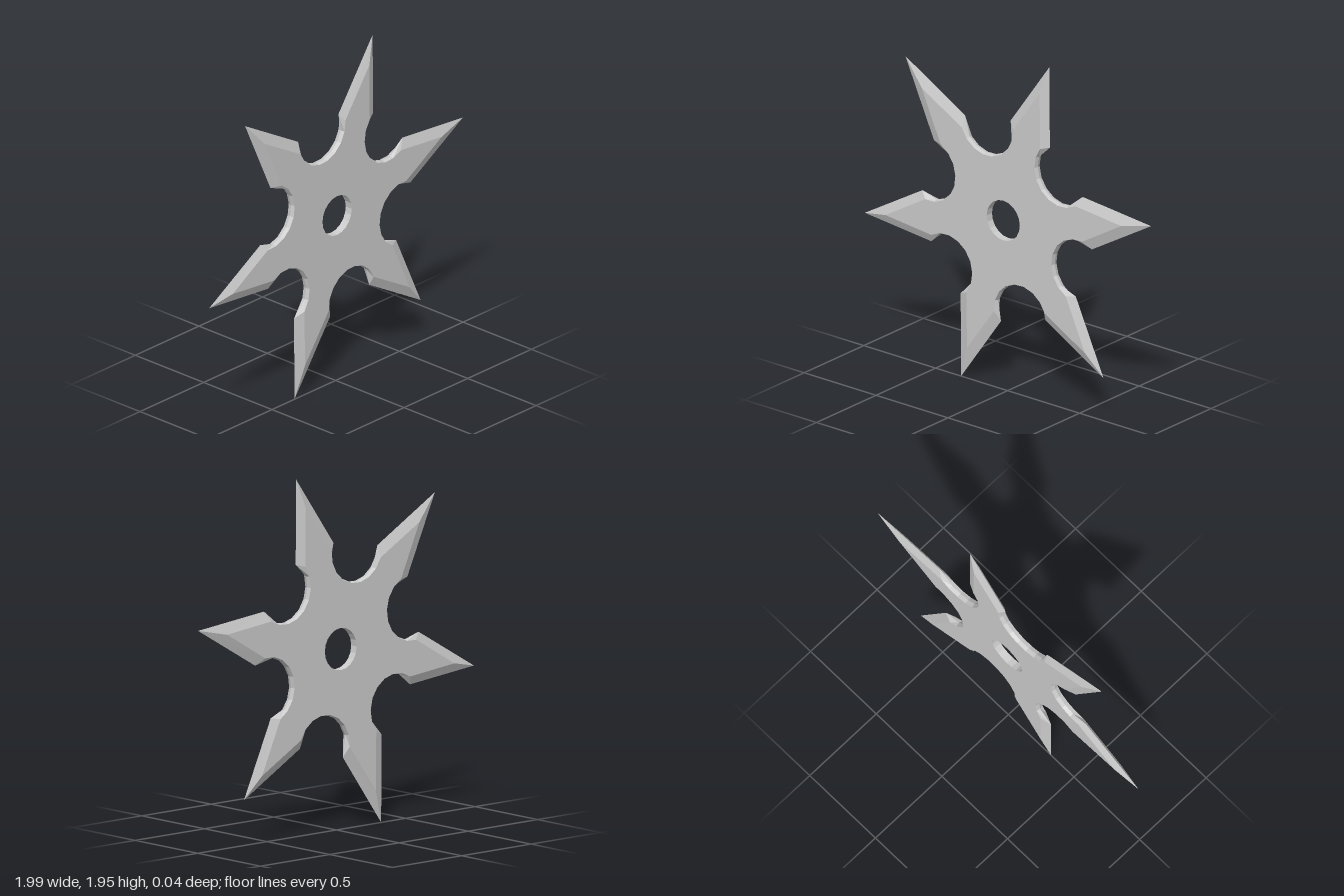
import * as THREE from 'three';

const HALF = 0.022;          // half thickness of the plate
const BLADES = 6;
const START = THREE.MathUtils.degToRad(12.5);
const ARC_STEPS = 8;         // facets in each round notch
const HOLE_R = 0.115, HOLE_SIDES = 20;

// Point given along / across a direction
function local(angle, along, across) {
  const c = Math.cos(angle), s = Math.sin(angle);
  return new THREE.Vector2(along * c - across * s, along * s + across * c);
}

// Two matching loops: edge of the flat face, and sharp rim on the mid plane
function outlines() {
  const flat = [], rim = [];
  const add = (f, r) => { flat.push(f); rim.push(r); };
  for (let k = 0; k < BLADES; k++) {
    const a = START + k * Math.PI / 3;
    const long = k % 2 === 0;
    const tip = long ? 1.035 : 1.005, barb = long ? 0.58 : 0.563, wide = long ? 0.147 : 0.143;
    // Blade: barb, tip, barb
    add(local(a, 0.535, -0.1), local(a, barb, -wide));
    add(local(a, 0.84, 0), local(a, tip, 0));
    add(local(a, 0.535, 0.1), local(a, barb, wide));
    // Round notch leading to the next blade
    const mid = a + Math.PI / 6;
    const centre = local(mid, 0.541, 0);
    const half = THREE.MathUtils.degToRad(81.4);
    for (let i = 1; i < ARC_STEPS; i++) {
      const t = mid + Math.PI - half + 2 * half * i / ARC_STEPS;
      // run from this blade towards the next one
      const u = 2 * (mid + Math.PI) - t;
      const dir = local(u, 1, 0);
      add(dir.clone().multiplyScalar(0.183).add(centre), dir.clone().multiplyScalar(0.177).add(centre));
    }
  }
  return { flat, rim };
}

function starGeometry() {
  const { flat, rim } = outlines();
  const hole = [];
  for (let i = 0; i < HOLE_SIDES; i++) hole.push(local(-i * 2 * Math.PI / HOLE_SIDES, HOLE_R, 0));
  const pos = [];
  const tri = (a, b, c) => { for (const p of [a, b, c]) pos.push(p.x, p.y, p.z); };
  const at = (p, z) => new THREE.Vector3(p.x, p.y, z);
  const quad = (a, b, c, d) => { tri(a, b, c); tri(a, c, d); };

  // Flat faces, front and back
  const all = flat.concat(hole);
  for (const [i, j, k] of THREE.ShapeUtils.triangulateShape(flat, [hole])) {
    const [a, b, c] = [all[i], all[j], all[k]];
    const ccw = (b.x - a.x) * (c.y - a.y) - (b.y - a.y) * (c.x - a.x) > 0;
    const [p, q] = ccw ? [b, c] : [c, b];
    tri(at(a, HALF), at(p, HALF), at(q, HALF));
    tri(at(a, -HALF), at(q, -HALF), at(p, -HALF));
  }
  // Bevels and notch walls
  for (let i = 0; i < flat.length; i++) {
    const j = (i + 1) % flat.length;
    quad(at(rim[i], 0), at(rim[j], 0), at(flat[j], HALF), at(flat[i], HALF));
    quad(at(rim[j], 0), at(rim[i], 0), at(flat[i], -HALF), at(flat[j], -HALF));
  }
  // Wall of the centre hole
  for (let i = 0; i < HOLE_SIDES; i++) {
    const a = hole[i], b = hole[(i + 1) % HOLE_SIDES];
    quad(at(a, -HALF), at(b, -HALF), at(b, HALF), at(a, HALF));
  }
  const g = new THREE.BufferGeometry();
  g.setAttribute('position', new THREE.Float32BufferAttribute(pos, 3));
  g.computeVertexNormals();
  return g;
}

export function createModel() {
  const group = new THREE.Group();
  group.name = 'throwingStar';
  const star = new THREE.Mesh(
    starGeometry(),
    new THREE.MeshStandardMaterial({ color: 0xcccccc, flatShading: true })
  );
  star.name = 'sixBladedPlate';
  star.position.set(-0.012, 0.992, 0);
  group.add(star);
  return group;
}
